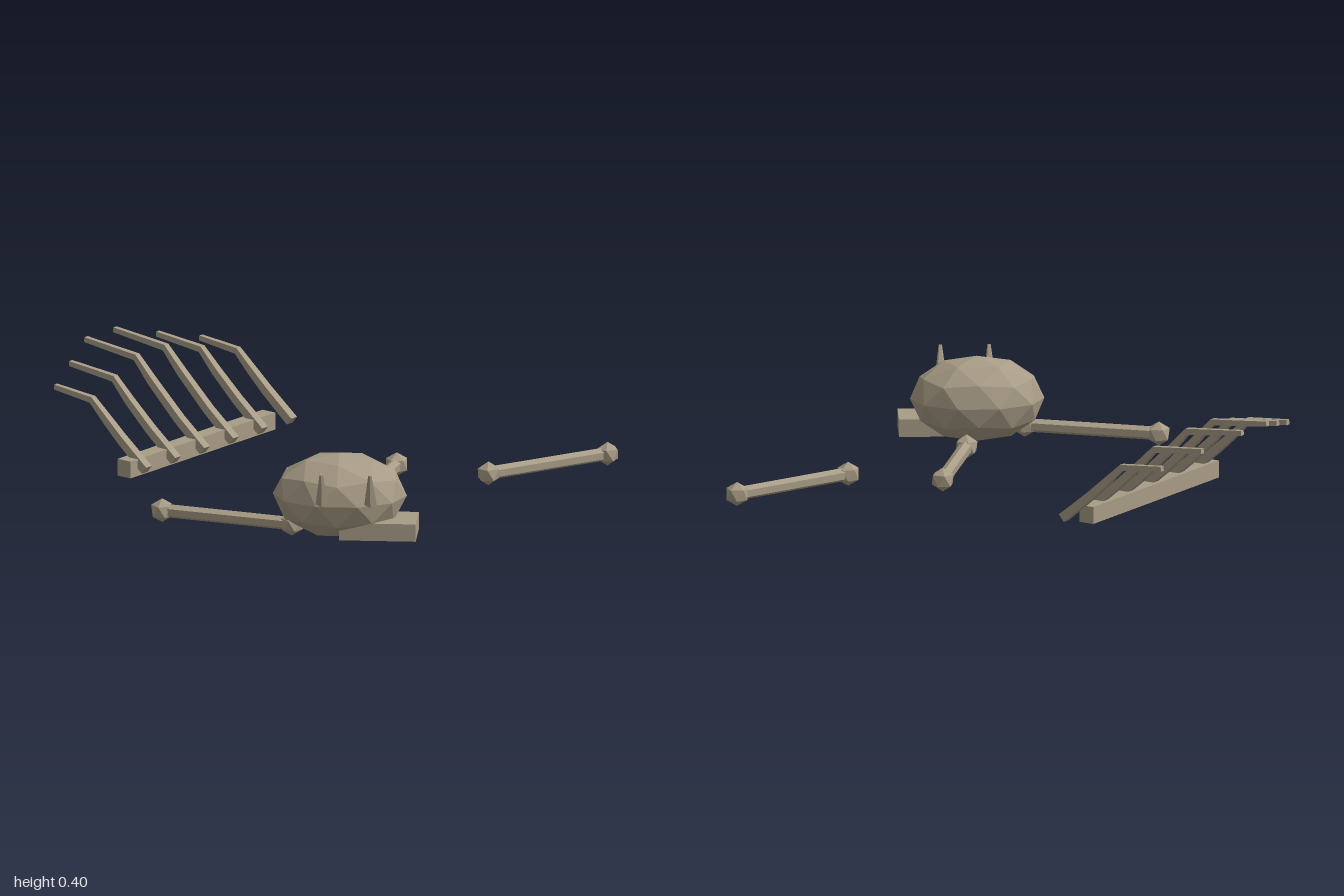
import * as THREE from 'three';

const bone = new THREE.MeshStandardMaterial({ color: 0xa89c86, flatShading: true });
bone.name = 'old bone';

function add(parent, name, geometry, x = 0, y = 0, z = 0) {
  const mesh = new THREE.Mesh(geometry, bone);
  mesh.name = name;
  mesh.position.set(x, y, z);
  parent.add(mesh);
  return mesh;
}

// Icosphere with one corner pointing straight up
function icosphere(radius, detail) {
  return new THREE.IcosahedronGeometry(radius, detail).rotateX(-Math.atan((1 + Math.sqrt(5)) / 2));
}

// Tapering square rod following a bent path in the xy plane
function ribGeometry(path, widths) {
  const pos = [], index = [];
  path.forEach(([x, y], i) => {
    const a = path[Math.max(i - 1, 0)], b = path[Math.min(i + 1, path.length - 1)];
    const t = new THREE.Vector2(b[0] - a[0], b[1] - a[1]).normalize();
    const h = widths[i] / 2;
    for (const [n, z] of [[1, 1], [-1, 1], [-1, -1], [1, -1]]) {
      pos.push(x - t.y * n * h, y + t.x * n * h, z * h);
    }
    if (i === 0) return;
    for (let k = 0; k < 4; k++) {
      const p = (i - 1) * 4 + k, q = (i - 1) * 4 + (k + 1) % 4;
      index.push(p, q, q + 4, p, q + 4, p + 4);
    }
  });
  const e = (path.length - 1) * 4;
  index.push(0, 3, 2, 0, 2, 1, e, e + 1, e + 2, e, e + 2, e + 3);
  const g = new THREE.BufferGeometry();
  g.setAttribute('position', new THREE.Float32BufferAttribute(pos, 3));
  g.setIndex(index);
  const flat = g.toNonIndexed();
  flat.computeVertexNormals();
  return flat;
}

// Spine with six ribs, longest in the middle
function ribcage() {
  const group = new THREE.Group();
  group.name = 'ribcage';
  add(group, 'spine', new THREE.BoxGeometry(0.065, 0.068, 0.9), -0.467, 0.06, 0.04);
  const root = [[-0.403, 0.053], [-0.53, 0.157]];
  const ends = [
    [[-0.6, 0.22], [-0.675, 0.29], [-0.86, 0.309]],
    [[-0.635, 0.253], [-0.71, 0.33], [-0.93, 0.352]],
    [[-0.665, 0.285], [-0.745, 0.37], [-0.999, 0.397]],
  ];
  for (let i = 0; i < 6; i++) {
    const size = Math.min(i, 5 - i);
    const g = ribGeometry([...root, ...ends[size]], [0.036, 0.033, 0.03, 0.025, 0.02]);
    add(group, 'rib', g, 0, 0, -0.472 + i * 0.18);
  }
  return group;
}

// Long bone with a knob on each end, lying on the ground
function longBone(x1, z1, x2, z2) {
  const group = new THREE.Group();
  group.name = 'longBone';
  const length = Math.hypot(x2 - x1, z2 - z1);
  group.position.set((x1 + x2) / 2, 0.058, (z1 + z2) / 2);
  group.rotation.y = Math.atan2(z1 - z2, x2 - x1);
  const shaft = new THREE.CylinderGeometry(0.027, 0.027, length, 6, 1, false, Math.PI / 6);
  add(group, 'shaft', shaft.rotateZ(Math.PI / 2));
  for (const s of [-1, 1]) add(group, 'knob', icosphere(0.048, 0), s * length / 2);
  return group;
}

// Skull with a jaw block and two tusks, turned towards the front left
function skull() {
  const group = new THREE.Group();
  group.name = 'skull';
  group.position.set(0.667, 0, 0.557);
  group.rotation.y = 0.61;
  add(group, 'cranium', icosphere(1, 1).scale(0.262, 0.17, 0.198), 0, 0.173, 0);
  add(group, 'jaw', new THREE.BoxGeometry(0.3, 0.07, 0.18), 0.156, 0.063, 0.056);
  const lean = new THREE.Vector3(0, 0.13, 0.05);
  for (const x of [-0.055, 0.135]) {
    const g = new THREE.CylinderGeometry(0.007, 0.026, lean.length(), 5);
    const tusk = add(group, 'tusk', g, x, 0.26, 0.234);
    tusk.quaternion.setFromUnitVectors(new THREE.Vector3(0, 1, 0), lean.clone().normalize());
  }
  return group;
}

export function createModel() {
  const model = new THREE.Group();
  model.name = 'skeletonRemains';
  model.add(
    ribcage(),
    skull(),
    longBone(0.86, -0.865, 0.675, -0.355),
    longBone(0.315, -0.232, 0.53, 0.27),
    longBone(0.015, 0.852, 0.53, 0.685),
  );
  return model;
}
